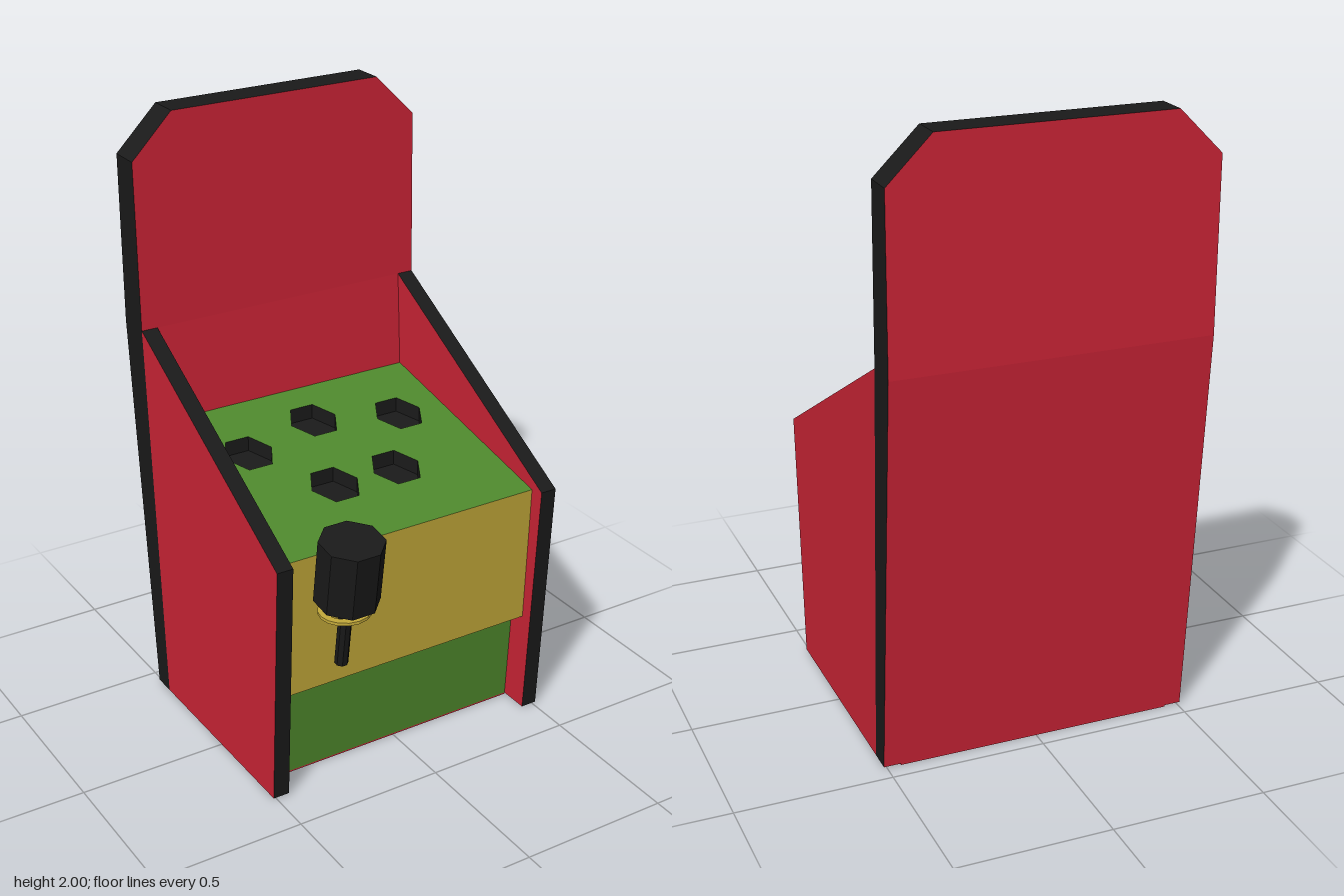
import * as THREE from 'three';

const paint = (color, side = THREE.FrontSide) =>
  new THREE.MeshStandardMaterial({ color, side, flatShading: true });

const red = paint(0xcc2436);
const black = paint(0x1a1a1a);
const blackInside = paint(0x1a1a1a, THREE.BackSide);
const green = paint(0x4f8a2d, THREE.DoubleSide);
const yellow = paint(0xc4aa3a, THREE.DoubleSide);

const HALF = 0.51;       // half of the overall width
const INNER = 0.455;     // half of the width between the side panels
const BASE = 0.005;      // panels start just above the floor plate

const lerp = THREE.MathUtils.lerp;
const deckY = (z) => 0.83 + (0.35 - z) * 0.203;

function add(parent, name, geometry, material) {
  const mesh = new THREE.Mesh(geometry, material);
  mesh.name = name;
  parent.add(mesh);
  return mesh;
}

const outline = (points) => new THREE.Shape(points.map(([a, b]) => new THREE.Vector2(a, b)));

// Moves every vertex of a geometry by a rule
function reshape(geometry, rule) {
  const p = geometry.attributes.position;
  const v = new THREE.Vector3();
  for (let i = 0; i < p.count; i++) {
    rule(v.fromBufferAttribute(p, i));
    p.setXYZ(i, v.x, v.y, v.z);
  }
  geometry.computeVertexNormals();
  return geometry;
}

// Flat sheet between the side panels, from a lower to an upper [z, y]
function sheet([z0, y0], [z1, y1]) {
  return reshape(new THREE.PlaneGeometry(2 * INNER, 1), (v) => {
    const t = v.y + 0.5;
    v.y = lerp(y0, y1, t);
    v.z = lerp(z0, z1, t);
  });
}

// Piece of the back board: outline in x, y, its faces set by [z at bottom, z at top]
function boardPiece(points, y0, y1, back, front) {
  const g = new THREE.ExtrudeGeometry(outline(points), { depth: 1, bevelEnabled: false });
  return reshape(g, (v) => {
    const t = (v.y - y0) / (y1 - y0);
    v.z = lerp(lerp(back[0], back[1], t), lerp(front[0], front[1], t), v.z);
  });
}

function makeMallet() {
  const mallet = new THREE.Group();
  mallet.name = 'mallet';
  const head = new THREE.CylinderGeometry(0.103, 0.103, 0.215, 8).rotateY(Math.PI / 8);
  add(mallet, 'malletHead', head, black);
  const handle = new THREE.CylinderGeometry(0.022, 0.022, 0.27, 8).rotateY(Math.PI / 8);
  add(mallet, 'malletHandle', handle, black).position.y = -0.215;
  mallet.position.set(-0.292, 0.81, 0.45);
  mallet.rotation.x = 0.14;
  return mallet;
}

export function createModel() {
  const model = new THREE.Group();
  model.name = 'malletGame';

  // Back board: leaning lower part and upright top with cut corners
  const board = new THREE.Group();
  board.name = 'backBoard';
  model.add(board);
  const bend = 1.31;
  add(board, 'lowerBoard', boardPiece(
    [[-HALF, BASE], [HALF, BASE], [HALF, bend], [-HALF, bend]],
    BASE, bend, [-0.445, -0.555], [-0.37, -0.44]), [red, black]);
  add(board, 'upperBoard', boardPiece(
    [[-HALF, bend], [HALF, bend], [HALF, 1.86], [0.37, 2], [-0.37, 2], [-HALF, 1.86]],
    bend, 2, [-0.555, -0.555], [-0.44, -0.449]), [red, black]);

  // Side panels: red faces with black edges
  const profile = outline([[-0.35, BASE], [0.37, BASE], [0.44, 1.31], [-0.4, 0.84]]);
  for (const [name, x] of [['leftPanel', INNER], ['rightPanel', -HALF]]) {
    const g = new THREE.ExtrudeGeometry(profile, { depth: HALF - INNER, bevelEnabled: false });
    g.rotateY(Math.PI / 2);
    add(model, name, g, [red, black]).position.x = x;
  }

  // Floor plate
  const floor = new THREE.BoxGeometry(2 * INNER, 0.006, 0.695);
  add(model, 'floorPlate', floor, red).position.set(0, 0.003, -0.0975);

  // Cabinet front
  add(model, 'lowerFront', sheet([0.25, BASE], [0.27, 0.33]), green);
  add(model, 'frontLip', sheet([0.27, 0.33], [0.33, 0.35]), yellow);
  add(model, 'upperFront', sheet([0.33, 0.35], [0.35, 0.83]), yellow);

  // Sloping deck with six-sided holes
  const centres = [[0, -0.245], [-0.285, -0.17], [0.285, -0.17], [-0.115, 0.077], [0.115, 0.077]];
  const deck = outline([[-INNER, -0.35], [INNER, -0.35], [INNER, 0.45], [-INNER, 0.45]]);
  for (const [x, z] of centres) {
    const hole = new THREE.Path();
    for (let i = 0; i < 6; i++) {
      const a = -i * Math.PI / 3;
      const px = x + 0.083 * Math.cos(a), py = -z + 0.09 * Math.sin(a);
      if (i) hole.lineTo(px, py); else hole.moveTo(px, py);
    }
    hole.closePath();
    deck.holes.push(hole);
  }
  const deckGeometry = new THREE.ShapeGeometry(deck).rotateX(-Math.PI / 2);
  add(model, 'deck', reshape(deckGeometry, (v) => { v.y = deckY(v.z); }), green);

  // Black pits below the holes, seen from inside
  const depth = 0.05;
  for (const [x, z] of centres) {
    const pit = new THREE.CylinderGeometry(1, 1, depth, 6).rotateY(Math.PI / 6);
    pit.scale(0.083, 1, 0.09).translate(x, -depth / 2, z);
    add(model, 'pit', reshape(pit, (v) => { v.y += deckY(v.z); }), blackInside);
  }

  // Mallet and the ring that holds it
  model.add(makeMallet());
  const ring = new THREE.Shape().absarc(0, 0, 0.083, 0, Math.PI * 2);
  ring.holes.push(new THREE.Path().absarc(0, 0, 0.06, 0, Math.PI * 2, true));
  const ringGeometry = new THREE.ExtrudeGeometry(ring, { depth: 0.01, bevelEnabled: false, curveSegments: 8 });
  ringGeometry.rotateX(-Math.PI / 2);
  add(model, 'malletRing', ringGeometry, yellow).position.set(-0.292, 0.653, 0.422);

  return model;
}
